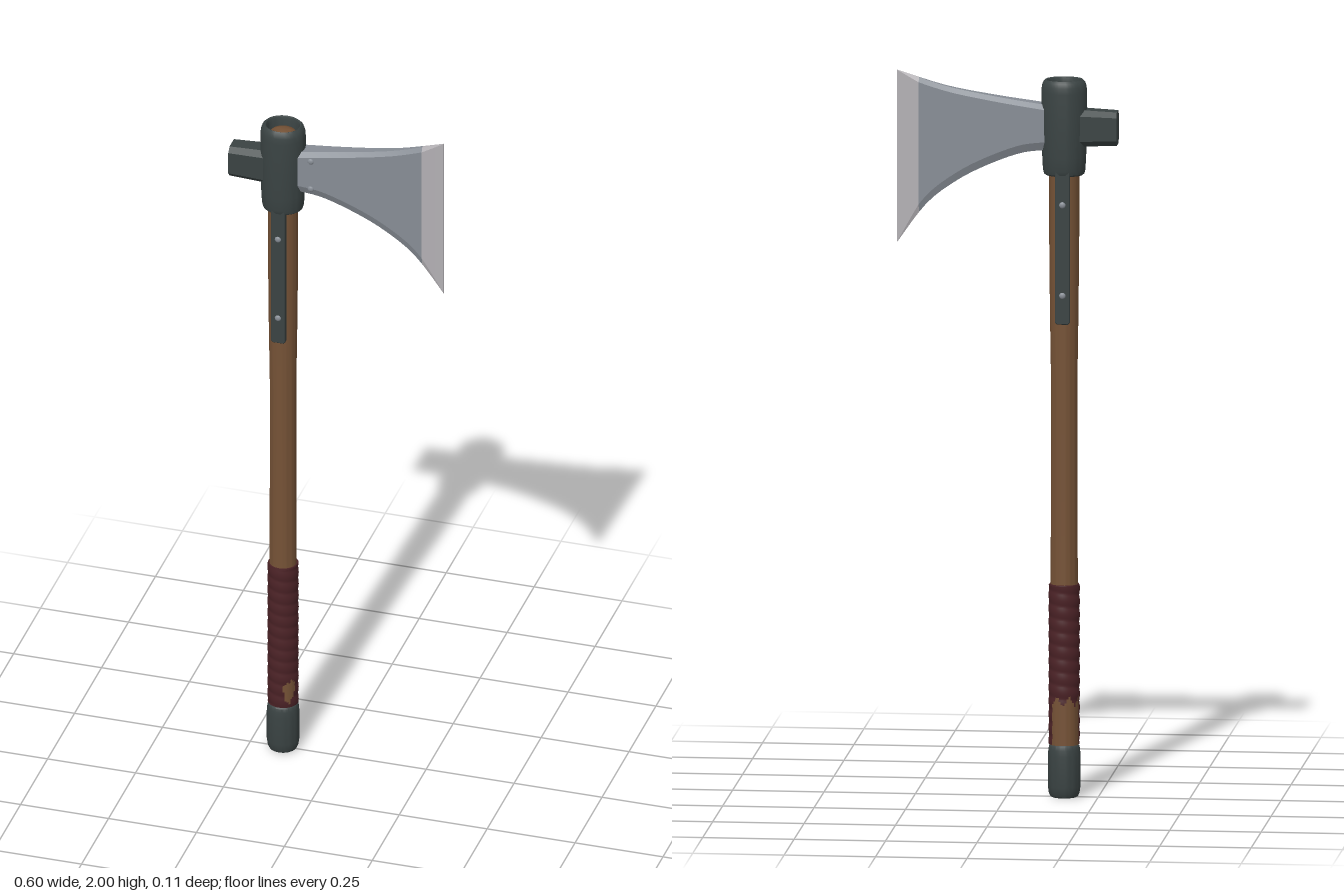
import * as THREE from 'three';
import { toCreasedNormals } from 'three/addons/utils/BufferGeometryUtils.js';

const AXIS = -0.157; // x of the handle centre line

const paint = (name, color) => {
  const m = new THREE.MeshStandardMaterial({ color });
  m.name = name;
  return m;
};

// Turned part from [radius, y] pairs, listed upwards on the outside
function turned(points, scaleZ = 1) {
  const g = new THREE.LatheGeometry(points.map(([r, y]) => new THREE.Vector2(r, y)), 40);
  g.scale(1, 1, scaleZ);
  return toCreasedNormals(g, 0.6);
}

// Closed skin through rings of [y, z] points placed along x
function loft(sections, crease, caps = [true, true]) {
  const n = sections[0].ring.length;
  const pos = [], index = [];
  sections.forEach(({ x, ring }) => ring.forEach(([y, z]) => pos.push(x, y, z)));
  for (let i = 0; i < sections.length - 1; i++) {
    for (let k = 0; k < n; k++) {
      const a = i * n + k, b = i * n + (k + 1) % n;
      index.push(a, b, b + n, a, b + n, a + n);
    }
  }
  const last = (sections.length - 1) * n;
  for (let k = 1; k < n - 1; k++) {
    if (caps[0]) index.push(0, k + 1, k);
    if (caps[1]) index.push(last, last + k, last + k + 1);
  }
  const g = new THREE.BufferGeometry();
  g.setAttribute('position', new THREE.Float32BufferAttribute(pos, 3));
  g.setIndex(index);
  return toCreasedNormals(g, crease);
}

// Eight-sided section: bottom y, top y, half width, half width of the flats, chamfer heights
const octagon = (lo, hi, w, flat, cLo, cHi) => [
  [hi, -flat], [hi, flat], [hi - cHi, w], [lo + cLo, w],
  [lo, flat], [lo, -flat], [lo + cLo, -w], [hi - cHi, -w],
];

export function createModel() {
  const wood = paint('wood', 0x755236);
  const leather = paint('red leather', 0x4b2226);
  const iron = paint('dark iron', 0x3a4343);
  const steel = paint('steel', 0x878d95);
  const edgeSteel = paint('sharpened steel', 0xb3b0b4);

  const model = new THREE.Group();
  model.name = 'axe';
  const add = (name, geometry, material, x = 0, y = 0, z = 0) => {
    const mesh = new THREE.Mesh(geometry, material);
    mesh.name = name;
    mesh.position.set(x, y, z);
    model.add(mesh);
    return mesh;
  };

  // Wooden handle with a domed top showing inside the collar
  add('handle', turned([
    [0.0385, 0.1], [0.0385, 0.4], [0.037, 0.62], [0.036, 0.9], [0.036, 1.15], [0.039, 1.35],
    [0.041, 1.55], [0.041, 1.9], [0.041, 1.945], [0.034, 1.955], [0.018, 1.962], [0, 1.964],
  ], 0.98), wood, AXIS);

  // Rounded butt cap
  add('buttCap', turned([
    [0, 0], [0.033, 0], [0.038, 0.003], [0.042, 0.012], [0.0445, 0.03], [0.0445, 0.115],
    [0.043, 0.132], [0.041, 0.142], [0.037, 0.146],
  ]), iron, AXIS);

  // Ridged grip wrap: torn away low at the back, with a hole at the front
  const rows = 120, cols = 48, top = 0.585, bottom = 0.147;
  const grip = new THREE.CylinderGeometry(1, 1, top - bottom, cols, rows, true);
  grip.translate(0, (top + bottom) / 2, 0);
  const p = grip.attributes.position;
  for (let i = 0; i < p.count; i++) {
    const y = p.getY(i);
    const r = 0.0405 + 0.0022 * Math.abs(Math.sin((y - bottom) * Math.PI / 0.0365 + Math.atan2(p.getX(i), p.getZ(i)) / 2));
    p.setXYZ(i, p.getX(i) * r, y, p.getZ(i) * r);
  }
  const isTorn = (deg, y) => {
    const ragged = 0.012 * Math.sin(deg * 0.13) + 0.006 * Math.sin(deg * 0.41);
    const back = Math.abs(deg - 192) < 58 + 500 * ragged && y < 0.268 + ragged;
    const hole = ((deg - 42) / 24) ** 2 + ((y - 0.2 - ragged * 0.6) / 0.034) ** 2 < 1;
    return back || hole;
  };
  const kept = [];
  for (let j = 0; j < rows; j++) {
    for (let i = 0; i < cols; i++) {
      if (isTorn((i + 0.5) * 360 / cols, top - (j + 0.5) * (top - bottom) / rows)) continue;
      const a = j * (cols + 1) + i, b = a + cols + 1;
      kept.push(a, b, a + 1, b, b + 1, a + 1);
    }
  }
  grip.clearGroups();
  grip.setIndex(kept);
  grip.computeVertexNormals();
  leather.side = THREE.DoubleSide;
  add('gripWrap', grip, leather, AXIS);
  add('gripWrapRim', turned([[0.036, 0.583], [0.0412, 0.583], [0.0405, 0.588], [0.036, 0.588]]), leather, AXIS);

  // Collar around the top of the handle, open above
  add('collar', turned([
    [0.04, 1.717], [0.05, 1.717], [0.055, 1.721], [0.058, 1.732], [0.06, 1.77], [0.0625, 1.83], [0.0625, 1.945],
    [0.061, 1.962], [0.057, 1.974], [0.051, 1.98], [0.047, 1.978], [0.044, 1.968], [0.043, 1.93],
  ], 0.88), iron, AXIS);

  // Chamfered hammer poll
  add('poll', loft([
    { x: -0.303, ring: octagon(1.802, 1.894, 0.033, 0.02, 0.014, 0.014) },
    { x: -0.19, ring: octagon(1.798, 1.9, 0.037, 0.022, 0.016, 0.016) },
  ], 0.2), iron);

  // Flared blade with chamfered rims, ending in a sharpened strip
  const upper = new THREE.SplineCurve([[-0.14, 1.908], [-0.097, 1.913], [0.035, 1.932], [0.168, 1.957], [0.3, 1.998]]
    .map((q) => new THREE.Vector2(...q)));
  const lower = new THREE.SplineCurve([[-0.14, 1.788], [-0.097, 1.786], [-0.033, 1.775], [0.06, 1.738], [0.14, 1.694], [0.22, 1.63], [0.3, 1.522]]
    .map((q) => new THREE.Vector2(...q)));
  const heightAt = (curve, x) => {
    let lo = 0, hi = 1;
    for (let i = 0; i < 30; i++) {
      const mid = (lo + hi) / 2;
      if (curve.getPoint(mid).x < x) lo = mid; else hi = mid;
    }
    return curve.getPoint(lo).y;
  };
  const bladeSection = (x) => {
    const t = (x + 0.1) / 0.34;
    const s = x > 0.24 ? Math.max(0, (0.3 - x) / 0.06) : 1;
    const w = Math.max(0.0006, (0.031 - 0.0215 * Math.min(t, 1)) * s);
    const flat = Math.max(0.0003, (0.02 - 0.0165 * Math.min(t, 1)) * s);
    return { x, ring: octagon(heightAt(lower, x), heightAt(upper, x), w, flat, 0.022 * s + 0.001, 0.012 * s + 0.001) };
  };
  const span = (a, b, n) => Array.from({ length: n + 1 }, (_, i) => bladeSection(a + (b - a) * i / n));
  add('blade', loft(span(-0.13, 0.24, 18), 0.2, [true, false]), steel);
  add('cuttingEdge', loft(span(0.24, 0.3, 5), 0.2, [false, true]), edgeSteel);

  // Small domed rivet facing +z or -z
  const rivet = (name, r, x, y, z, side, material) => {
    const g = new THREE.SphereGeometry(r, 14, 6, 0, Math.PI * 2, 0, Math.PI / 2);
    g.scale(1, 0.6, 1);
    g.rotateX(side * Math.PI / 2);
    add(name, g, material, x, y, z * side);
  };
  for (const y of [1.805, 1.892]) rivet('bladeRivet', 0.009, -0.07, y, 0.028, 1, steel);

  // Iron straps down the front and back of the handle
  const strapShape = new THREE.Shape();
  strapShape.moveTo(-0.02, 1.315).lineTo(-0.015, 1.31).lineTo(0.015, 1.31).lineTo(0.02, 1.315);
  strapShape.lineTo(0.02, 1.74).lineTo(-0.02, 1.74);
  for (const side of [1, -1]) {
    const g = new THREE.ExtrudeGeometry(strapShape, {
      depth: 0.014, bevelEnabled: true, bevelSize: 0.002, bevelThickness: 0.002, bevelOffset: -0.002, bevelSegments: 1,
    });
    g.translate(0, 0, 0.032);
    if (side < 0) g.rotateY(Math.PI);
    add('strap', g, iron, AXIS);
    for (const y of [1.39, 1.64]) rivet('strapRivet', 0.009, AXIS, y, 0.0475, side, steel);
  }

  return model;
}
